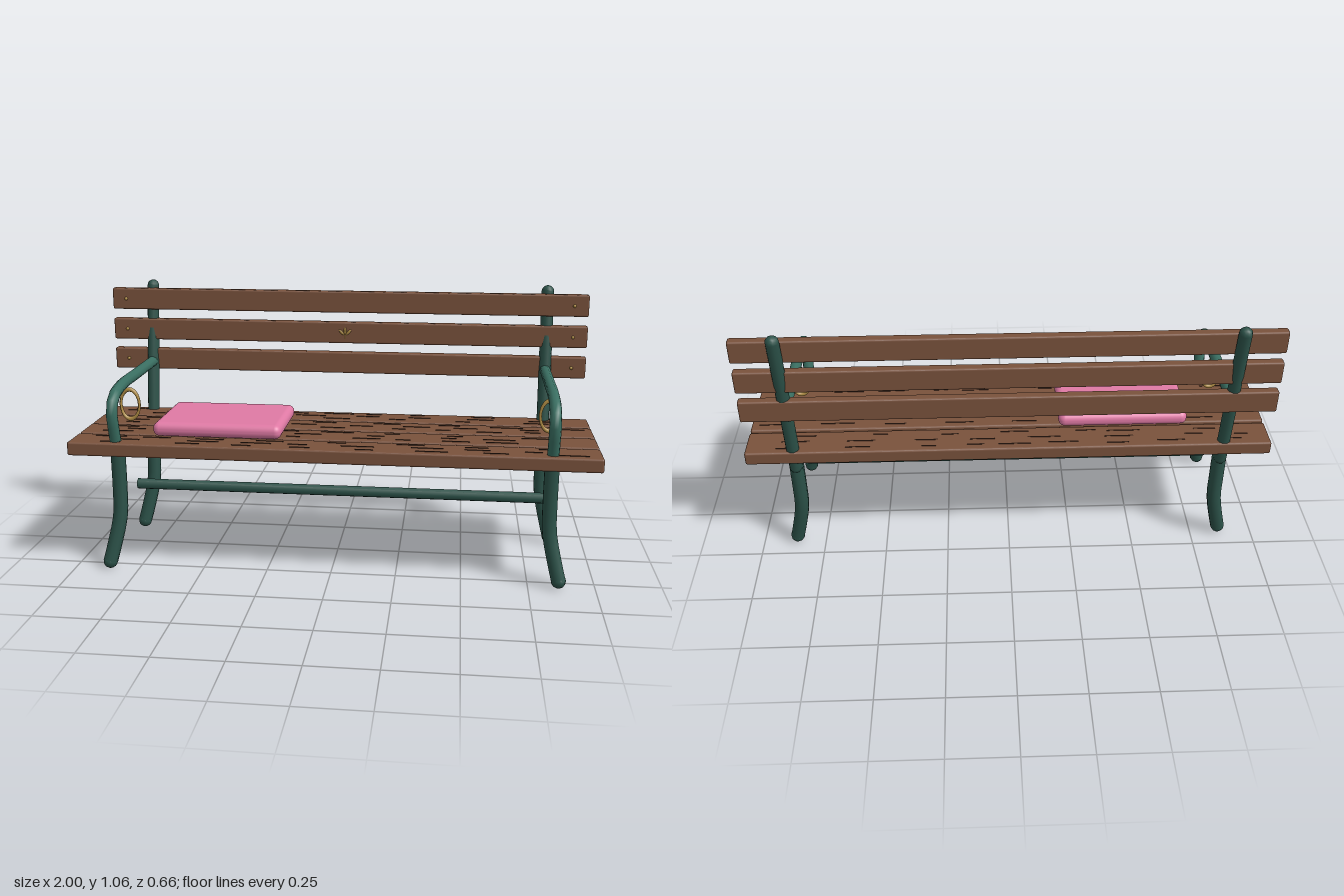
import * as THREE from 'three';
import { RoundedBoxGeometry } from 'three/addons/geometries/RoundedBoxGeometry.js';

const mat = (color) => new THREE.MeshStandardMaterial({ color });

export function createModel() {
  const bench = new THREE.Group();
  bench.name = 'bench';
  const wood = mat(0x7a523c), grainWood = mat(0x3c271c), iron = mat(0x2c5249);
  const armIron = mat(0x3a6f62), brass = mat(0xb08d45), pink = mat(0xe07aa5);

  const add = (name, geometry, material, x = 0, y = 0, z = 0, parent = bench) => {
    const mesh = new THREE.Mesh(geometry, material);
    mesh.name = name;
    mesh.position.set(x, y, z);
    parent.add(mesh);
    return mesh;
  };

  // Round bar along a smooth path, with ball ends
  const bar = (name, points, radius, material, segments = 10) => {
    const group = new THREE.Group();
    group.name = name;
    const path = points.map((p) => new THREE.Vector3(...p));
    const curve = new THREE.CatmullRomCurve3(path);
    add(name + 'Tube', new THREE.TubeGeometry(curve, segments, radius, 10), material, 0, 0, 0, group);
    for (const p of [path[0], path[path.length - 1]])
      add(name + 'End', new THREE.SphereGeometry(radius, 10, 8), material, p.x, p.y, p.z, group);
    bench.add(group);
  };

  // Seeded random numbers for the grain
  let seed = 7;
  const random = () => (seed = (seed * 16807) % 2147483647) / 2147483647;

  // Seat slats with dark grain dashes on top
  for (const z of [0.255, 0.106, -0.042, -0.19]) {
    add('seatSlat', new RoundedBoxGeometry(2, 0.053, 0.135, 2, 0.008), wood, 0, 0.488, z);
    for (const row of [-0.036, 0, 0.036]) {
      for (let x = -0.92 + random() * 0.12; x < 0.85; x += 0.16 + random() * 0.14) {
        const length = 0.05 + random() * 0.08;
        add('seatGrain', new THREE.BoxGeometry(length, 0.003, 0.004), grainWood,
          x + length / 2, 0.515, z + row + (random() - 0.5) * 0.012);
      }
    }
  }

  // Back slats with small brass screws
  for (const y of [0.98, 0.853, 0.727]) {
    add('backSlat', new RoundedBoxGeometry(1.966, 0.088, 0.036, 2, 0.007), wood, 0, y, -0.273);
    for (const side of [-1, 1])
      add('screw', new THREE.SphereGeometry(0.007, 8, 6), brass, side * 0.925, y, -0.254);
  }

  // Leaf ornament in the middle of the back
  const ornament = new THREE.Group();
  ornament.name = 'leafOrnament';
  ornament.position.set(0, 0.84, -0.253);
  for (const angle of [-0.75, 0, 0.75]) {
    const leaf = add('leaf', new THREE.SphereGeometry(1, 8, 6), brass,
      -Math.sin(angle) * 0.022, Math.cos(angle) * 0.022, 0, ornament);
    leaf.scale.set(0.006, 0.015, 0.004);
    leaf.rotation.z = angle;
  }
  add('leafStem', new THREE.CylinderGeometry(0.003, 0.003, 0.03, 6), brass, 0, 0.003, 0, ornament);
  bench.add(ornament);

  // Side frames
  for (const s of [-1, 1]) {
    const x = 0.82 * s;
    bar('frontLeg', [[0.863 * s, 0.028, 0.295], [0.845 * s, 0.1, 0.282],
      [0.823 * s, 0.21, 0.265], [x, 0.32, 0.261], [x, 0.47, 0.263]], 0.028, iron);
    bar('backLeg', [[0.863 * s, 0.028, -0.17], [0.845 * s, 0.1, -0.182],
      [0.823 * s, 0.21, -0.197], [x, 0.32, -0.202], [x, 0.47, -0.204]], 0.028, iron);
    bar('backUpright', [[x, 0.42, -0.217], [x, 0.73, -0.26], [x, 1.031, -0.305]], 0.025, iron, 6);
    bar('armrest', [[x, 0.49, 0.275], [x, 0.56, 0.295], [x, 0.64, 0.309], [x, 0.685, 0.275],
      [x, 0.708, 0.185], [x, 0.713, 0], [x, 0.717, -0.25]], 0.022, armIron, 16);

    // Oval ring under the armrest
    const ring = add('brassRing', new THREE.TorusGeometry(0.06, 0.009, 8, 28), brass, x, 0.61, 0.085);
    ring.scale.x = 0.62;
  }

  // Long rail below the seat
  const rail = add('lowerRail', new THREE.CylinderGeometry(0.022, 0.022, 1.64, 8), iron, 0, 0.263, 0.033);
  rail.rotation.z = Math.PI / 2;

  // Cushion
  add('cushion', new RoundedBoxGeometry(0.5, 0.056, 0.367, 4, 0.026), pink, -0.444, 0.546, 0.043);

  return bench;
}
